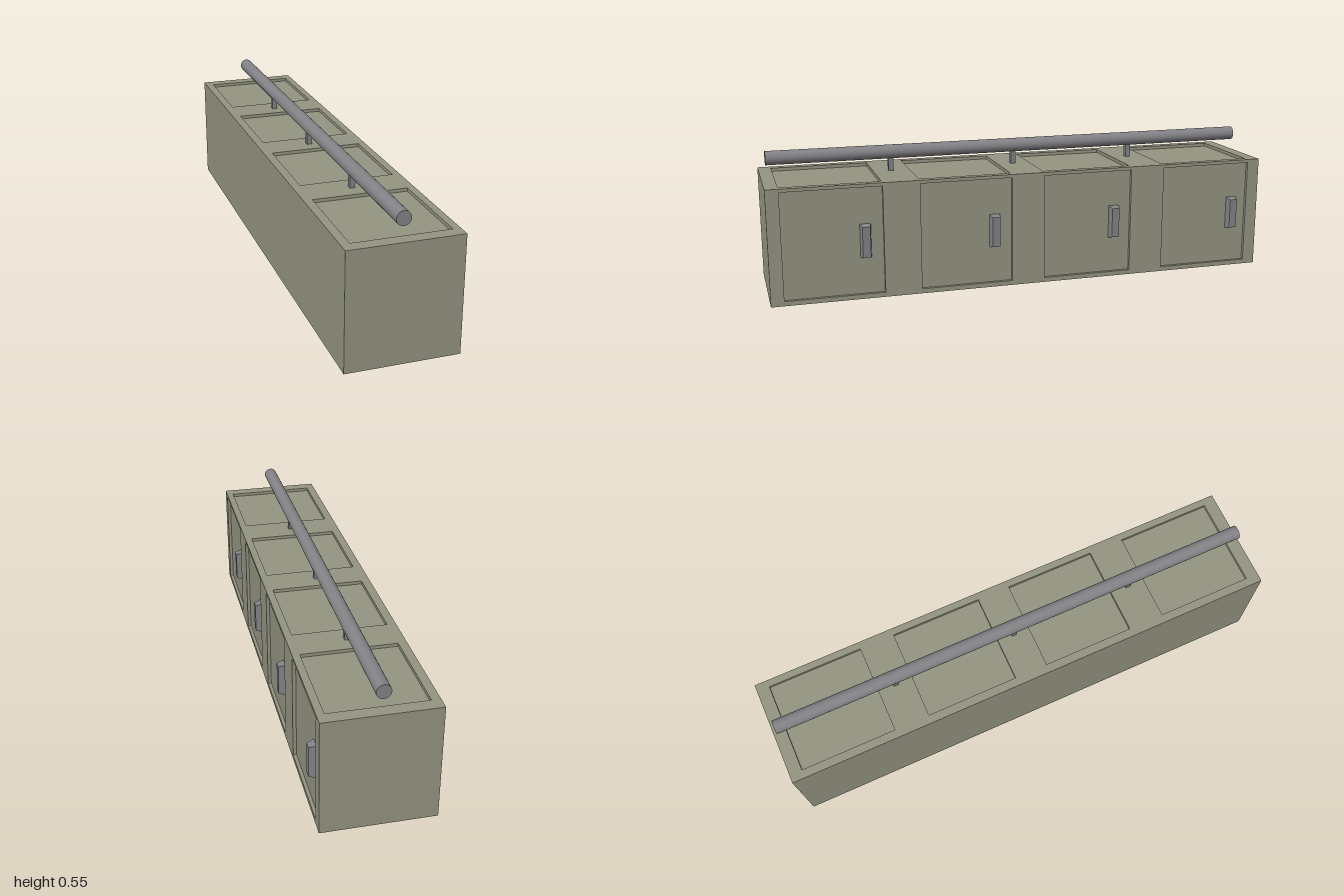
import * as THREE from 'three';

// z ranges of the four lockers, and the z of each door handle
const BAYS = [
  { z0: 0.57, z1: 0.95, handle: 0.638 },
  { z0: 0.065, z1: 0.427, handle: 0.133 },
  { z0: -0.432, z1: -0.068, handle: -0.363 },
  { z0: -0.95, z1: -0.573, handle: -0.886 },
];
const LEFT = -0.218, RIGHT = 0.203, TOP = 0.447, DEPTH = 0.013;

function rect(Type, x0, y0, x1, y1) {
  const p = new Type();
  p.moveTo(x0, y0);
  p.lineTo(x1, y0);
  p.lineTo(x1, y1);
  p.lineTo(x0, y1);
  p.closePath();
  return p;
}

export function createModel() {
  const group = new THREE.Group();
  const olive = new THREE.MeshStandardMaterial({ color: 0x949482 });
  const metal = new THREE.MeshStandardMaterial({ color: 0x838387 });

  const add = (name, geometry, material, x = 0, y = 0, z = 0) => {
    const mesh = new THREE.Mesh(geometry, material);
    mesh.name = name;
    mesh.position.set(x, y, z);
    group.add(mesh);
    return mesh;
  };

  // Cabinet core: its right and top faces are the floors of the recessed panels
  const inner = RIGHT - DEPTH, coreTop = TOP - DEPTH;
  add('cabinetBody', new THREE.BoxGeometry(inner - LEFT, coreTop, 2), olive,
    (inner + LEFT) / 2, coreTop / 2, 0);

  // Door frame: plate on the right side with four openings
  const side = rect(THREE.Shape, -1, 0, 1, TOP);
  // Top frame: plate with four openings
  const lid = rect(THREE.Shape, LEFT, -1, inner, 1);
  for (const { z0, z1 } of BAYS) {
    side.holes.push(rect(THREE.Path, -z1, 0.018, -z0, 0.434));
    lid.holes.push(rect(THREE.Path, -0.185, -z1, 0.175, -z0));
  }
  const plate = { depth: DEPTH, bevelEnabled: false };
  add('doorFrame', new THREE.ExtrudeGeometry(side, plate).rotateY(Math.PI / 2), olive, inner);
  add('topFrame', new THREE.ExtrudeGeometry(lid, plate).rotateX(-Math.PI / 2), olive, 0, coreTop);

  // Door handles: blocks that narrow slightly outwards
  const handle = new THREE.BoxGeometry(0.027, 0.132, 0.042);
  const pos = handle.attributes.position;
  for (let i = 0; i < pos.count; i++) {
    if (pos.getX(i) > 0) {
      pos.setY(i, pos.getY(i) - Math.sign(pos.getY(i)) * 0.007);
      pos.setZ(i, pos.getZ(i) - Math.sign(pos.getZ(i)) * 0.006);
    }
  }
  const handleGeometry = handle.toNonIndexed();
  handleGeometry.computeVertexNormals();
  BAYS.forEach((bay) => add('doorHandle', handleGeometry, metal, inner + 0.0135, 0.225, bay.handle));

  // Rail on three square posts
  const railX = -0.013, railY = 0.522;
  add('rail', new THREE.CylinderGeometry(0.027, 0.027, 1.96, 32).rotateX(Math.PI / 2), metal, railX, railY, 0);
  for (const z of [-0.5, 0, 0.5]) {
    add('railPost', new THREE.BoxGeometry(0.02, 0.07, 0.02), metal, railX, 0.475, z);
  }
  return group;
}
